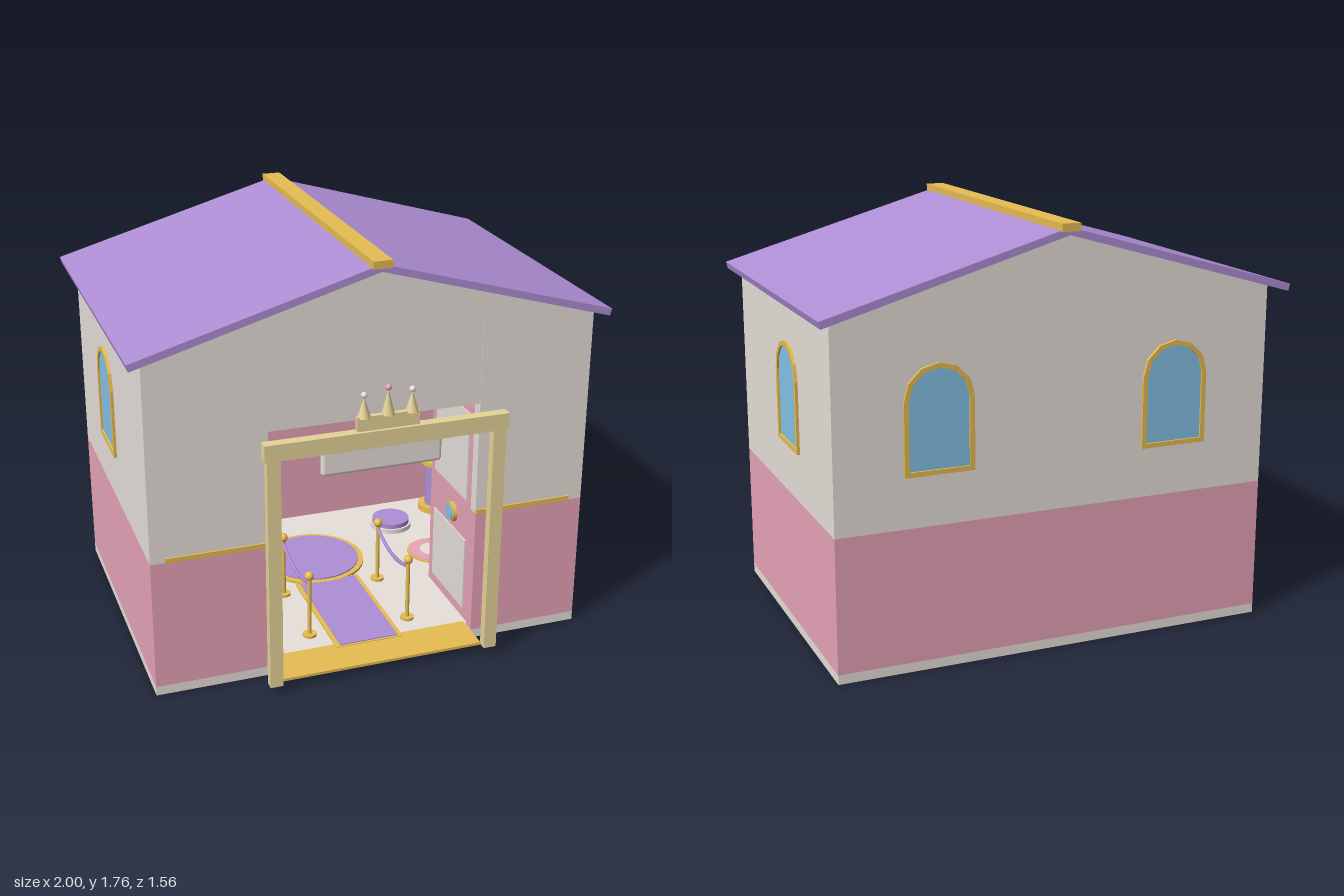
import * as THREE from 'three';
import { RoundedBoxGeometry } from 'three/addons/geometries/RoundedBoxGeometry.js';

const mat = (name, color) => Object.assign(new THREE.MeshStandardMaterial({ color }), { name });

export function createModel() {
  const root = new THREE.Group();
  root.name = 'boutique';
  const white = mat('warm white', 0xfff7f1);
  const pink = mat('pink', 0xffb5cb);
  const purple = mat('lavender', 0xae8ed5);
  const gold = mat('gold', 0xffd15c);
  const cream = mat('champagne', 0xffeaa9);
  const blue = mat('sky glass', 0x94d6ff);

  const add = (name, geo, m, x = 0, y = 0, z = 0, parent = root) => {
    const mesh = new THREE.Mesh(geo, m);
    mesh.name = name;
    mesh.position.set(x, y, z);
    parent.add(mesh);
    return mesh;
  };
  // box given by its limits on each axis
  const box = (name, m, x0, x1, y0, y1, z0, z1, parent = root) =>
    add(name, new THREE.BoxGeometry(x1 - x0, y1 - y0, z1 - z0), m,
      (x0 + x1) / 2, (y0 + y1) / 2, (z0 + z1) / 2, parent);
  // the same box on both sides of the middle
  const pair = (name, m, x0, x1, y0, y1, z0, z1) => {
    box(name, m, x0, x1, y0, y1, z0, z1);
    box(name, m, -x1, -x0, y0, y1, z0, z1);
  };
  const disc = (name, m, r, h, x, y, z, sides = 24) =>
    add(name, new THREE.CylinderGeometry(r, r, h, sides), m, x, y + h / 2, z);

  // floor and two-tone walls
  box('floor', white, -0.94, 0.94, 0, 0.04, -0.695, 0.63);
  for (const [name, m, y0, y1] of [['lowerWall', pink, 0.04, 0.6], ['upperWall', white, 0.6, 1.45]]) {
    pair(name + 'Side', m, 0.89, 0.94, y0, y1, -0.645, 0.58);
    box(name + 'Back', m, -0.94, 0.94, y0, y1, -0.695, -0.645);
    pair(name + 'Front', m, 0.45, 0.94, y0, y1, 0.58, 0.63);
  }
  box('doorHeader', white, -0.45, 0.45, 1.1, 1.45, 0.58, 0.628);

  // gold rails between the two wall colours
  pair('frontTrim', gold, 0.45, 0.88, 0.6, 0.62, 0.63, 0.637);
  box('backInnerTrim', gold, -0.88, 0.88, 0.6, 0.62, -0.645, -0.637);
  pair('sideInnerTrim', gold, 0.882, 0.89, 0.6, 0.62, -0.64, 0.58);

  // gables
  const tri = new THREE.Shape([[-0.94, 1.45], [0.94, 1.45], [0, 1.718]].map(p => new THREE.Vector2(...p)));
  const gable = new THREE.ExtrudeGeometry(tri, { depth: 0.05, bevelEnabled: false });
  add('frontGable', gable, white, 0, 0, 0.58);
  add('backGable', gable, white, 0, 0, -0.695);

  // roof slabs and ridge
  for (const s of [1, -1]) {
    const pts = [[0, 1.745], [0, 1.715], [s * 0.992, 1.43], [s, 1.459]];
    const slab = new THREE.Shape(pts.map(p => new THREE.Vector2(...p)));
    add(s > 0 ? 'roofLeft' : 'roofRight',
      new THREE.ExtrudeGeometry(slab, { depth: 1.44, bevelEnabled: false }), purple, 0, 0, -0.77);
  }
  box('ridgeBeam', gold, -0.04, 0.04, 1.73, 1.762, -0.78, 0.68);

  // arched windows
  const arch = (inset) => {
    const r = 0.145 - inset, pts = [new THREE.Vector2(-r, inset), new THREE.Vector2(r, inset)];
    for (let i = 0; i <= 6; i++) {
      const a = Math.PI * i / 6;
      pts.push(new THREE.Vector2(r * Math.cos(a), 0.298 + r * Math.sin(a)));
    }
    return pts;
  };
  const frameShape = new THREE.Shape(arch(0));
  frameShape.holes.push(new THREE.Path(arch(0.02)));
  const solid = (shape, depth) =>
    new THREE.ExtrudeGeometry(shape, { depth, bevelEnabled: false }).translate(0, 0, -depth / 2);
  const frameGeo = solid(frameShape, 0.074);
  const glassGeo = solid(new THREE.Shape(arch(0.018)), 0.058);
  for (const [x, z, turn] of [[0.915, -0.1, Math.PI / 2], [-0.915, -0.1, Math.PI / 2], [0.512, -0.67, 0], [-0.512, -0.67, 0]]) {
    const win = new THREE.Group();
    win.name = 'window';
    win.position.set(x, 0.81, z);
    win.rotation.y = turn;
    add('windowFrame', frameGeo, gold, 0, 0, 0, win);
    add('windowGlass', glassGeo, blue, 0, 0, 0, win);
    root.add(win);
  }

  // entrance portal, threshold and blank sign
  pair('portalPost', cream, 0.445, 0.5, 0.035, 1.04, 0.74, 0.78);
  box('portalLintel', cream, -0.51, 0.51, 1.04, 1.11, 0.735, 0.78);
  box('threshold', gold, -0.445, 0.445, 0.032, 0.044, 0.56, 0.745);
  add('sign', new RoundedBoxGeometry(0.51, 0.125, 0.035, 3, 0.016), white, 0, 0.97, 0.69);

  // crown over the portal
  box('crownBase', cream, -0.13, 0.13, 1.11, 1.17, 0.744, 0.766);
  for (const x of [-0.1, 0, 0.1]) {
    const h = x ? 0.085 : 0.105;
    add('crownSpike', new THREE.ConeGeometry(0.028, h, 8), cream, x, 1.165 + h / 2, 0.755);
    add('crownPearl', new THREE.SphereGeometry(0.013, 12, 8), x ? white : pink, x, 1.172 + h, 0.755);
  }

  // open doors with panels and round emblems
  for (const s of [1, -1]) {
    const door = new THREE.Group();
    door.name = s > 0 ? 'leftDoor' : 'rightDoor';
    const face = (name, m, x0, x1, ...rest) => box(name, m, Math.min(s * x0, s * x1), Math.max(s * x0, s * x1), ...rest, door);
    face('doorLeaf', pink, 0.452, 0.48, 0.05, 1.08, 0.15, 0.578);
    face('upperPanel', white, 0.446, 0.452, 0.62, 1.02, 0.2, 0.54);
    face('lowerPanel', white, 0.446, 0.452, 0.1, 0.43, 0.2, 0.54);
    for (const [name, m, r, x] of [['emblemRim', gold, 0.045, 0.443], ['emblemCentre', blue, 0.036, 0.438]])
      add(name, new THREE.CylinderGeometry(r, r, 0.02, 20), m, s * x, 0.505, 0.4, door).rotation.z = Math.PI / 2;
    root.add(door);
  }

  // runner carpet and round rugs
  box('carpetBorder', gold, -0.15, 0.15, 0.04, 0.047, 0.02, 0.59);
  box('carpet', purple, -0.13, 0.13, 0.047, 0.051, 0.03, 0.58);
  disc('daisRim', gold, 0.24, 0.012, 0, 0.04, -0.19, 32);
  disc('daisTop', purple, 0.215, 0.006, 0, 0.052, -0.19, 32);
  for (const s of [1, -1]) {
    disc('rugRim', gold, 0.12, 0.006, s * 0.57, 0.04, -0.09);
    disc('rugRing', pink, 0.11, 0.004, s * 0.57, 0.046, -0.09);
    disc('rugCentre', white, 0.06, 0.004, s * 0.57, 0.05, -0.09);
    // low stools
    disc('stoolBase', white, 0.1, 0.022, s * 0.48, 0.04, -0.41);
    disc('stoolCushion', purple, 0.09, 0.022, s * 0.48, 0.062, -0.41);
    // pedestals
    disc('pedestalBase', gold, 0.082, 0.03, s * 0.76, 0.04, -0.52);
    disc('pedestalColumn', purple, 0.05, 0.22, s * 0.76, 0.07, -0.52);
    disc('pedestalTop', gold, 0.07, 0.02, s * 0.76, 0.29, -0.52);
  }
  // shelves below the back windows
  pair('shelf', white, 0.39, 0.63, 0.648, 0.665, -0.645, -0.56);
  pair('shelfDisplay', purple, 0.4, 0.62, 0.665, 0.69, -0.64, -0.575);

  // stanchions and ropes
  for (const s of [1, -1]) {
    for (const z of [0.08, 0.45]) {
      disc('stanchionBase', gold, 0.03, 0.012, s * 0.225, 0.04, z, 16);
      disc('stanchionPole', gold, 0.009, 0.27, s * 0.225, 0.05, z, 12);
      add('stanchionBall', new THREE.SphereGeometry(0.02, 16, 10), gold, s * 0.225, 0.33, z);
    }
    const rope = new THREE.QuadraticBezierCurve3(
      new THREE.Vector3(s * 0.225, 0.3, 0.08), new THREE.Vector3(s * 0.225, 0.22, 0.265), new THREE.Vector3(s * 0.225, 0.3, 0.45));
    add('rope', new THREE.TubeGeometry(rope, 12, 0.008, 8), purple);
  }

  // round wall medallion with a star
  add('medallion', new THREE.CylinderGeometry(0.1375, 0.1375, 0.012, 32), white, 0, 0.97, -0.639).rotation.x = Math.PI / 2;
  const star = new THREE.Shape(Array.from({ length: 10 }, (_, i) => {
    const a = Math.PI / 2 + i * Math.PI / 5, r = i % 2 ? 0.05 : 0.105;
    return new THREE.Vector2(r * Math.cos(a), r * Math.sin(a));
  }));
  add('medallionStar', new THREE.ExtrudeGeometry(star, { depth: 0.006, bevelEnabled: false }), gold, 0, 0.97, -0.633);
  return root;
}
